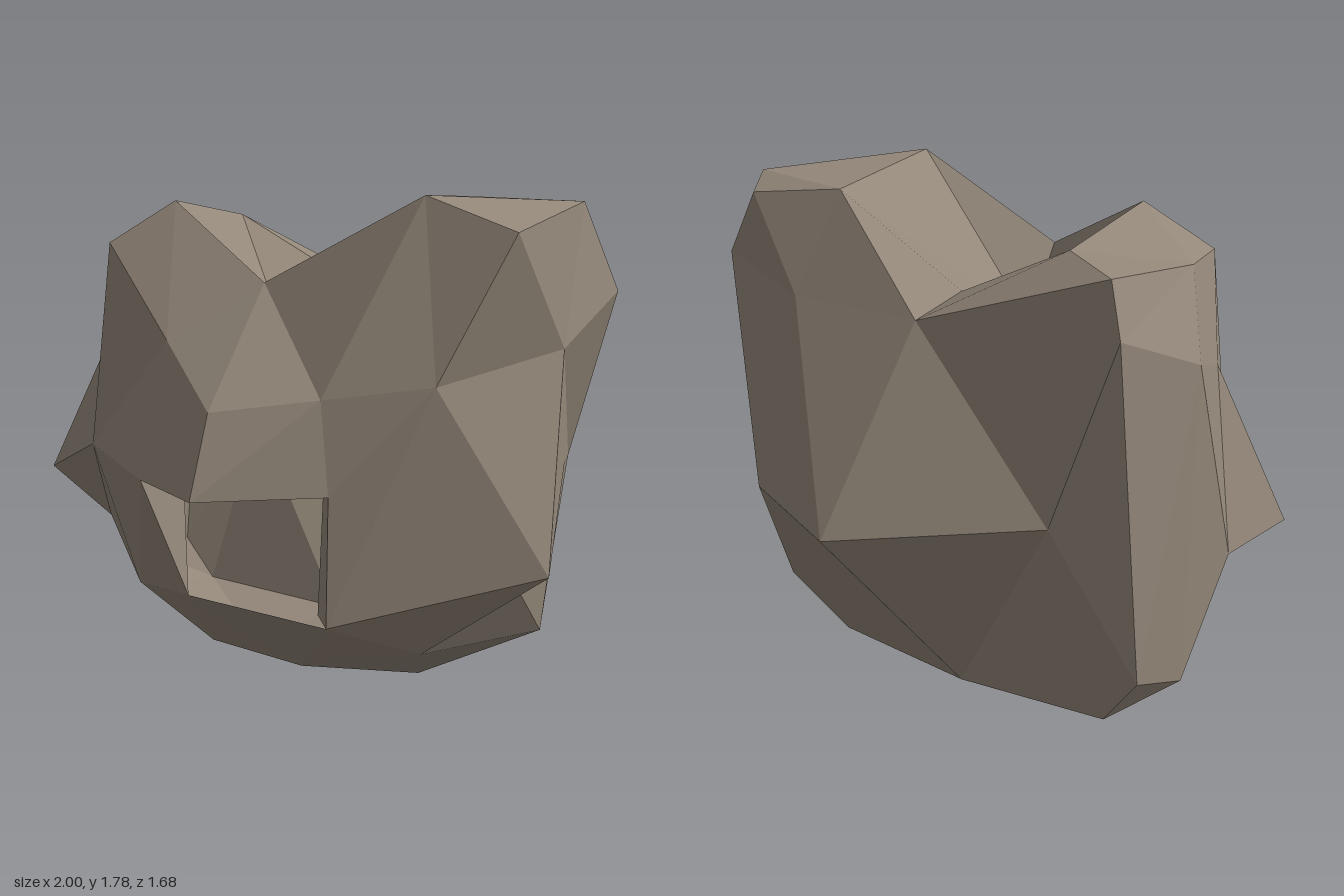
import * as THREE from 'three';

// Stitches two rings (both counter-clockwise from above). Each letter of the
// pattern adds one triangle: L steps along the lower ring, U along the upper.
function strip(tris, lower, upper, pattern) {
  let i = 0, j = 0;
  for (const step of pattern) {
    const a = lower[i % lower.length], b = upper[j % upper.length];
    if (step === 'L') tris.push([a, lower[++i % lower.length], b]);
    else tris.push([a, upper[++j % upper.length], b]);
  }
}

// Fans a polygon out from its first corner.
function fan(tris, ...pts) {
  for (let i = 1; i < pts.length - 1; i++) tris.push([pts[0], pts[i], pts[i + 1]]);
}

function facetMesh(name, tris, material) {
  const geometry = new THREE.BufferGeometry();
  geometry.setAttribute('position', new THREE.Float32BufferAttribute(tris.flat(2), 3));
  geometry.computeVertexNormals();
  const mesh = new THREE.Mesh(geometry, material);
  mesh.name = name;
  return mesh;
}

export function createModel() {
  // Double sided: the inside of the hollow shell shows through the front opening
  const stone = new THREE.MeshStandardMaterial({
    color: 0x938779, flatShading: true, side: THREE.DoubleSide,
  });
  stone.name = 'stone';

  // Rings run from the front round by +x, the back and -x.
  const keel = [[0.38, 0.03, -0.13], [-0.31, 0, -0.08]];
  const low = [
    [0.09, 0.1, 0.2], [0.59, 0.26, 0.21], [0.82, 0.46, -0.04], [0.79, 0.24, -0.28],
    [0.72, 0.21, -0.41], [0.41, 0.08, -0.41], [-0.18, 0.09, -0.41], [-0.75, 0.13, -0.33],
    [-0.86, 0.29, -0.3], [-0.92, 0.26, -0.14], [-0.8, 0.15, -0.09], [-0.3, 0.12, 0.22],
  ];
  const girdle = [
    [-0.12, 0.43, 0.57], [0.45, 0.43, 0.57], [1, 0.58, 0.11], [0.85, 0.86, -0.3],
    [0.78, 0.84, -0.48], [0.51, 0.73, -0.71], [0.04, 0.71, -0.84], [-0.6, 0.815, -0.45],
    [-0.81, 1.46, -0.38], [-0.87, 1.32, -0.04], [-0.95, 0.66, 0.06], [-0.78, 0.53, 0.24],
    [-0.43, 0.39, 0.47],
  ];
  const shoulder = [
    [0.45, 0.86, 0.56], [0.72, 1.21, 0.37], [0.93, 1.29, -0.09], [0.97, 1.45, -0.41],
    [0.46, 1.4, -0.54], [-0.07, 1.405, -0.49], [-0.74, 1.63, -0.34], [-0.73, 1.59, 0.1],
    [-0.79, 1.25, 0.18], [-1, 0.71, 0.32], [-0.68, 0.86, 0.43], [-0.18, 0.86, 0.73],
  ];
  const crown = [
    [0.11, 1.12, 0.73], [0.4, 1.16, 0.53], [0.6, 1.785, 0.25], [0.9, 1.68, 0.2],
    [0.88, 1.75, -0.31], [0.78, 1.7, -0.44], [0.4, 1.75, -0.37], [-0.05, 1.45, -0.25],
    [-0.5, 1.66, -0.24], [-0.44, 1.735, 0.22], [0.06, 1.49, 0.365],
  ];
  const brow = [0.12, 0.855, 0.84];
  const forehead = [-0.2, 1.3, 0.56];
  const leftKnob = [-0.65, 1.585, 0.34];
  const saddle = [0, 1.25, 0.15];

  const rock = [];
  // Underside, without the outcrops that belong to the sides
  strip(rock, keel, low.filter((p, i) => ![2, 8, 9].includes(i)), 'UUUULUUUUUL');
  rock.push([low[1], low[3], low[2]]);
  fan(rock, low[7], low[10], low[9], low[8]);
  // Lower flanks
  strip(rock, low, girdle, 'ULULULULULLUULLUULUUULLUL');
  // Upper flanks, open at the front
  strip(rock, [...girdle.slice(1), girdle[0]], shoulder, 'ULULLU' + 'LU'.repeat(8) + 'L');
  // Side spike and the face above it
  const [backKnob, flank, spike, cheek, lip] = shoulder.slice(7);
  rock.push([flank, spike, cheek], [flank, cheek, leftKnob], [backKnob, flank, leftKnob]);
  // Slopes up to the two peaks
  const base = [brow, ...shoulder.slice(0, 8), leftKnob];
  strip(rock, base, crown, 'ULLUULULULULUULLUL');
  // Bulging front face over the opening
  const [nose, temple, peak, c3, c4, c5, ridge, dipBack, leftRear, leftPeak, notch] = crown;
  fan(rock, forehead, leftKnob, cheek, lip, nose, notch, leftPeak, leftKnob);
  rock.push([lip, brow, nose]);
  // Peak tops and the dip between them
  fan(rock, temple, peak, notch, nose);
  fan(rock, peak, c3, c4, ridge);
  rock.push([c4, c5, ridge]);
  fan(rock, saddle, notch, peak, ridge, dipBack, leftRear, leftPeak, notch);

  // Short inward rim on the top and sides of the opening
  const [sillL, sillR] = girdle, lipR = shoulder[0];
  const innerL = [-0.19, 0.835, 0.5], innerR = [0.355, 0.835, 0.45], innerSill = [0.355, 0.43, 0.48];
  const rim = [];
  fan(rim, innerL, innerR, lipR, brow, lip);
  fan(rim, sillL, innerL, lip);
  fan(rim, sillR, lipR, innerR, innerSill);

  const group = new THREE.Group();
  group.name = 'rock';
  group.add(facetMesh('boulder', rock, stone), facetMesh('openingRim', rim, stone));
  return group;
}
